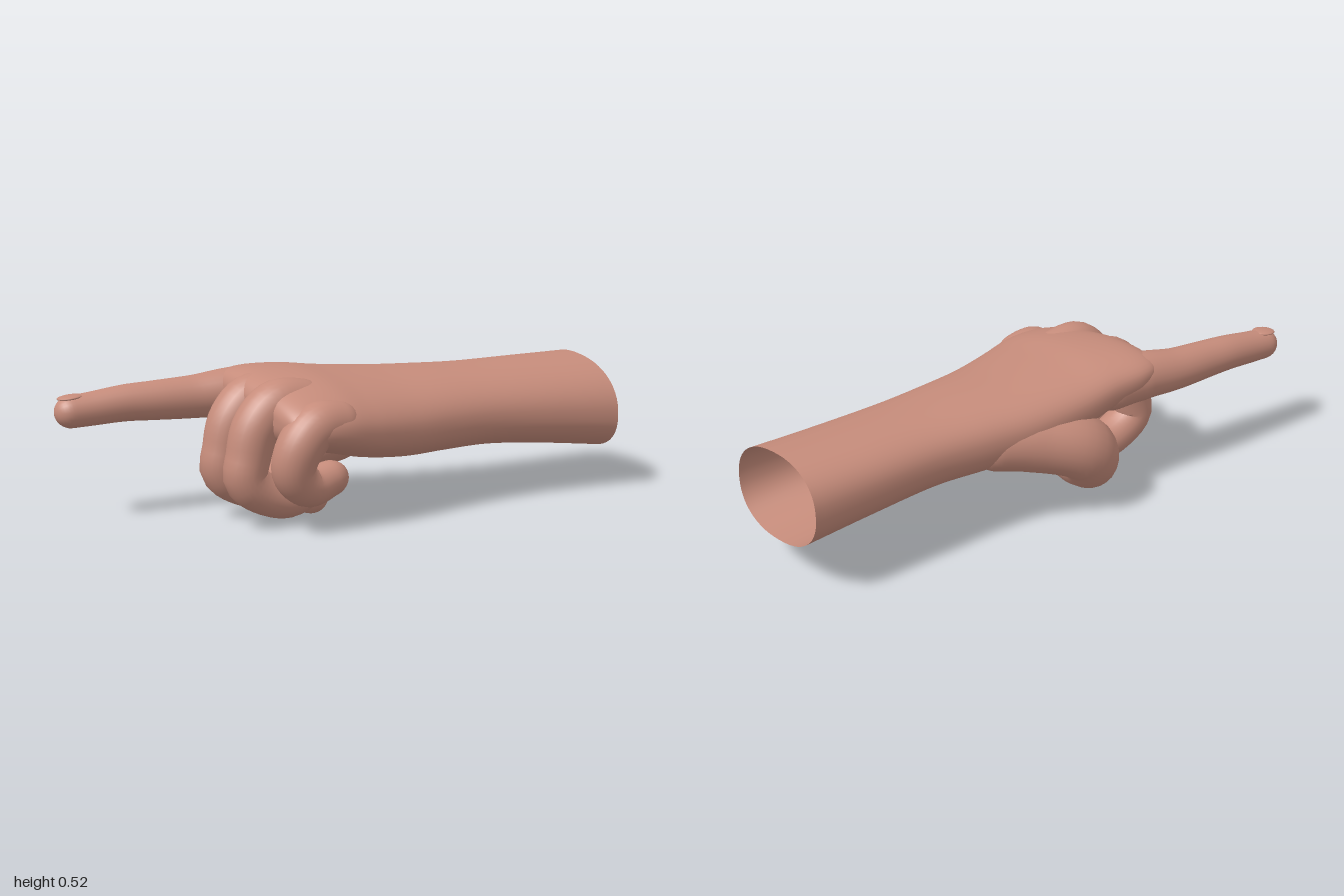
import * as THREE from 'three';

const skin = new THREE.MeshStandardMaterial({ color: 0xc68c7b, side: THREE.DoubleSide });
skin.name = 'skin';

// Smooth surface through a list of closed rings of points
function skinRings(name, rings) {
  const n = rings[0].length, index = [];
  for (let i = 0; i < rings.length - 1; i++) {
    for (let j = 0; j < n; j++) {
      const k = (j + 1) % n;
      const a = i * n + j, b = i * n + k, c = a + n, d = b + n;
      index.push(a, b, d, a, d, c);
    }
  }
  const geometry = new THREE.BufferGeometry().setFromPoints(rings.flat());
  geometry.setIndex(index);
  geometry.computeVertexNormals();
  const mesh = new THREE.Mesh(geometry, skin);
  mesh.name = name;
  return mesh;
}

// Round-ended limb; each joint is [x, y, z, radius]
function limb(name, joints, steps = 56, sides = 24) {
  const curve = new THREE.CatmullRomCurve3(
    joints.map(([x, y, z]) => new THREE.Vector3(x, y, z)), false, 'centripetal');
  const length = curve.getLength(), last = joints.length - 1;
  const up = new THREE.Vector3(0.21, 0.35, 0.91);
  const rings = [];
  for (let i = 0; i <= steps; i++) {
    const u = (1 - Math.cos(Math.PI * i / steps)) / 2;
    const f = curve.getUtoTmapping(u) * last, k = Math.min(Math.floor(f), last - 1);
    const r = THREE.MathUtils.lerp(joints[k][3], joints[k + 1][3], f - k);
    const fromEnd = Math.min(u, 1 - u) * length;
    const cap = fromEnd < r ? Math.sqrt(Math.max(0, 1 - (1 - fromEnd / r) ** 2)) : 1;
    rings.push({ p: curve.getPointAt(u), t: curve.getTangentAt(u), r: r * cap });
  }
  // carry the frame along the path without twisting
  const normal = up.clone();
  return skinRings(name, rings.map(({ p, t, r }) => {
    normal.addScaledVector(t, -normal.dot(t)).normalize();
    const side = new THREE.Vector3().crossVectors(t, normal);
    return Array.from({ length: sides }, (_, j) => {
      const a = 2 * Math.PI * j / sides;
      return p.clone().addScaledVector(normal, r * Math.cos(a)).addScaledVector(side, r * Math.sin(a));
    });
  }));
}

// Forearm, wrist and back of the hand: x, zMin, zMax, yMin, yMax, tilt
function forearmAndPalm() {
  const sections = [
    [1.0, -0.245, 0.24, 0.152, 0.478, 0.035],
    [0.75, -0.24, 0.23, 0.18, 0.476, 0.03],
    [0.5, -0.235, 0.23, 0.2, 0.475, 0.025],
    [0.3, -0.255, 0.25, 0.198, 0.48, 0.025],
    [0.12, -0.28, 0.285, 0.2, 0.485, 0.03],
    [-0.06, -0.29, 0.33, 0.225, 0.497, 0.035],
    [-0.2, -0.29, 0.36, 0.26, 0.51, 0.04],
    [-0.32, -0.295, 0.365, 0.29, 0.505, 0.045],
    [-0.39, -0.27, 0.34, 0.32, 0.485, 0.045],
    [-0.42, -0.2, 0.27, 0.36, 0.45, 0.035],
    [-0.425, -0.02, 0.08, 0.4, 0.41, 0.0],
  ];
  const v = (a, b, c) => new THREE.Vector3(a, b, c);
  const plan = new THREE.CatmullRomCurve3(sections.map(s => v(s[0], s[1], s[2])), false, 'catmullrom');
  const height = new THREE.CatmullRomCurve3(sections.map(s => v(s[3], s[4], s[5])), false, 'catmullrom');
  const rings = [], steps = 70, sides = 56;
  const power = c => Math.sign(c) * Math.abs(c) ** 0.88;
  for (let i = 0; i <= steps; i++) {
    const { x, y: z0, z: z1 } = plan.getPoint(i / steps);
    const { x: y0, y: y1, z: tilt } = height.getPoint(i / steps);
    rings.push(Array.from({ length: sides }, (_, j) => {
      const a = 2 * Math.PI * j / sides;
      const across = -power(Math.sin(a));
      const z = (z0 + z1) / 2 + across * (z1 - z0) / 2;
      const y = (y0 + y1) / 2 + power(Math.cos(a)) * (y1 - y0) / 2 - tilt * across;
      return v(x + 0.25 * Math.max(0, -x) * Math.max(0, z), y, z); // knuckles recede to the little finger
    }));
  }
  return skinRings('forearmAndPalm', rings);
}

export function createModel() {
  const hand = new THREE.Group();
  hand.name = 'pointingHand';
  hand.add(forearmAndPalm());

  // Straight pointing finger with its nail
  hand.add(limb('indexFinger', [
    [-0.15, 0.4, -0.2, 0.08], [-0.35, 0.415, -0.21, 0.088], [-0.5, 0.406, -0.228, 0.076],
    [-0.66, 0.404, -0.235, 0.068], [-0.75, 0.403, -0.24, 0.064], [-0.88, 0.392, -0.243, 0.058],
    [-1.0, 0.384, -0.245, 0.054],
  ]));
  const nail = new THREE.Mesh(new THREE.SphereGeometry(1, 20, 12), skin);
  nail.name = 'indexNail';
  nail.scale.set(0.045, 0.008, 0.038);
  nail.position.set(-0.945, 0.438, -0.245);
  nail.rotation.z = 0.1;
  hand.add(nail);

  // Two fingers curled into the palm
  const curl = [
    [-0.18, 0.41, 0.075], [-0.36, 0.42, 0.085], [-0.435, 0.35, 0.083], [-0.465, 0.25, 0.077],
    [-0.475, 0.175, 0.076], [-0.42, 0.125, 0.073], [-0.32, 0.095, 0.071], [-0.24, 0.125, 0.065],
    [-0.19, 0.2, 0.058],
  ];
  [['middleFinger', -0.045, -0.05, 0], ['ringFinger', 0.125, 0.12, 0.01]].forEach(([name, zBase, zTip, dx]) => {
    hand.add(limb(name, curl.map(([x, y, r], i) =>
      [x + dx, y, THREE.MathUtils.lerp(zBase, zTip, i / 8), r])));
  });

  // Little finger, shorter and lower
  hand.add(limb('littleFinger', [
    [-0.12, 0.36, 0.27, 0.07], [-0.28, 0.365, 0.285, 0.083], [-0.345, 0.3, 0.287, 0.08],
    [-0.36, 0.215, 0.275, 0.074], [-0.3, 0.16, 0.262, 0.07], [-0.22, 0.175, 0.25, 0.062],
    [-0.15, 0.195, 0.245, 0.055],
  ]));

  // Thumb folded across under the palm, with its fleshy base
  hand.add(limb('thumb', [
    [0.34, 0.34, -0.14, 0.09], [0.12, 0.31, -0.2, 0.108], [-0.06, 0.25, -0.255, 0.116],
    [-0.13, 0.16, -0.22, 0.1], [-0.17, 0.092, -0.1, 0.085], [-0.18, 0.075, 0.01, 0.068],
    [-0.18, 0.066, 0.11, 0.058],
  ]));
  hand.add(limb('thumbBase', [
    [0.32, 0.32, -0.06, 0.1], [0.12, 0.3, -0.1, 0.108], [0.0, 0.25, -0.14, 0.112],
    [-0.1, 0.19, -0.18, 0.095], [-0.17, 0.14, -0.19, 0.07],
  ]));
  return hand;
}
